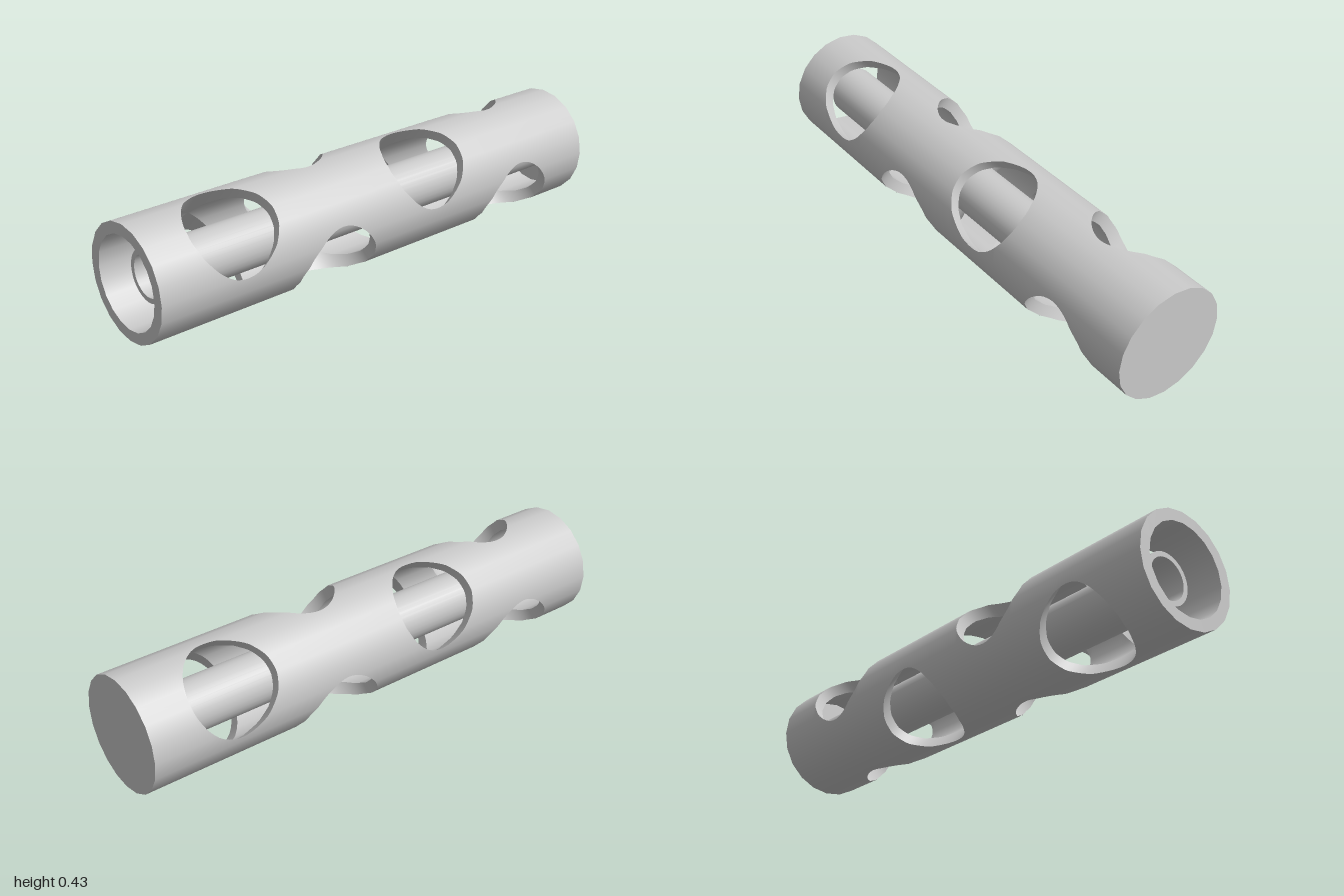
import * as THREE from 'three';
import { mergeGeometries } from 'three/addons/utils/BufferGeometryUtils.js';

const SIDES = 20, OUTER = 0.2145, BORE = 0.1715, CORE_OUT = 0.097, CORE_IN = 0.078;
const HOLE = 0.1715, FLOOR = -0.955, CORE_FRONT = 0.92, AXIS_Y = 0.2155;
// cross holes, drilled right through, alternating by a quarter turn
const HOLES = [
  { z: -0.656, angle: 140 }, { z: -0.205, angle: 50 },
  { z: 0.244, angle: 140 }, { z: 0.663, angle: 50 },
];
const STEP = (2 * Math.PI) / SIDES;

// point on a regular polygon of circumradius r at a given angle
function onPolygon(r, a, z) {
  const local = ((a % STEP) + STEP) % STEP - STEP / 2;
  const rho = (r * Math.cos(STEP / 2)) / Math.cos(local);
  return [rho * Math.cos(a), rho * Math.sin(a), z];
}

// surface through rows of { p, n } points
function grid(rows, flip = false) {
  const pos = [], nor = [], index = [], w = rows[0].length;
  rows.forEach((row, r) => row.forEach((v, c) => {
    pos.push(...v.p);
    nor.push(...v.n);
    if (r === 0 || c === 0) return;
    const d = r * w + c, e = d - 1, b = d - w, a = b - 1;
    if (flip) index.push(a, d, b, a, e, d);
    else index.push(a, b, d, a, d, e);
  }));
  const g = new THREE.BufferGeometry();
  g.setAttribute('position', new THREE.Float32BufferAttribute(pos, 3));
  g.setAttribute('normal', new THREE.Float32BufferAttribute(nor, 3));
  g.setIndex(index);
  return g;
}

// smooth cylinder wall, facing out (+1) or in (-1)
function band(r, z0, z1, sides, facing) {
  const row = (z) => Array.from({ length: sides + 1 }, (_, k) => {
    const a = (k / sides) * 2 * Math.PI, x = Math.cos(a), y = Math.sin(a);
    return { p: [r * x, r * y, z], n: [facing * x, facing * y, 0] };
  });
  return grid([row(z0), row(z1)], facing < 0);
}

// stretch of the shell pierced by one cross hole: two opposite webs
function piercedStretch({ z: zc, angle }) {
  const parts = [], n = 36;
  for (const side of [0, 1]) {
    const lo = THREE.MathUtils.degToRad(angle) + side * Math.PI;
    const mid = lo + Math.PI / 2;
    const outer = [], inner = [], wallA = [], wallB = [];
    for (let j = 0; j <= n; j++) {
      const t = (Math.PI * j) / n;
      const z = zc - HOLE * Math.cos(t), h = HOLE * Math.sin(t);
      const arc = (r, facing) => {
        const cut = Math.asin(Math.min(1, h / r));
        const a0 = lo + cut, a1 = lo + Math.PI - cut, angles = [a0];
        for (let k = Math.floor(lo / STEP) + 1; k * STEP < lo + Math.PI; k++)
          angles.push(THREE.MathUtils.clamp(k * STEP, a0, a1));
        angles.push(a1);
        return angles.map((a) => ({
          p: onPolygon(r, a, z), n: [facing * Math.cos(a), facing * Math.sin(a), 0],
        }));
      };
      const o = arc(OUTER, 1), i = arc(BORE, -1);
      const wallN = [-Math.cos(mid) * Math.sin(t), -Math.sin(mid) * Math.sin(t), Math.cos(t)];
      const edge = (v) => ({ p: v.p, n: wallN });
      outer.push(o);
      inner.push(i);
      wallA.push([edge(i[0]), edge(o[0])]);
      wallB.push([edge(o.at(-1)), edge(i.at(-1))]);
    }
    parts.push(grid(outer), grid(inner, true), grid(wallA), grid(wallB));
  }
  return mergeGeometries(parts);
}

export function createModel() {
  const model = new THREE.Group();
  const material = new THREE.MeshStandardMaterial({ color: 0xcccccc });
  const add = (parent, name, geometry, z = 0) => {
    const mesh = new THREE.Mesh(geometry, material);
    mesh.name = name;
    mesh.position.z = z;
    parent.add(mesh);
    return mesh;
  };

  // outer shell: plain bands alternating with pierced stretches
  const shell = new THREE.Group();
  shell.name = 'outerShell';
  let start = -1;
  for (const hole of [...HOLES, null]) {
    const end = hole ? hole.z - HOLE : 1;
    add(shell, 'plainBand', mergeGeometries([
      band(OUTER, start, end, SIDES, 1),
      band(BORE, Math.max(start, FLOOR), end, SIDES, -1),
    ]));
    if (hole) {
      add(shell, 'piercedStretch', piercedStretch(hole));
      start = hole.z + HOLE;
    }
  }
  add(shell, 'frontRim', new THREE.RingGeometry(BORE, OUTER, SIDES), 1);
  add(shell, 'boreFloor', new THREE.CircleGeometry(BORE, SIDES), FLOOR);
  add(shell, 'backCap', new THREE.CircleGeometry(OUTER, SIDES).rotateY(Math.PI), -1);

  // slim core tube running down the middle
  const core = new THREE.Group();
  core.name = 'coreTube';
  add(core, 'coreWall', mergeGeometries([
    band(CORE_OUT, FLOOR, CORE_FRONT, 32, 1),
    band(CORE_IN, FLOOR, CORE_FRONT, 32, -1),
  ]));
  add(core, 'coreRim', new THREE.RingGeometry(CORE_IN, CORE_OUT, 32), CORE_FRONT);

  model.add(shell, core);
  model.position.y = AXIS_Y;
  const root = new THREE.Group();
  root.name = 'piercedTube';
  root.add(model);
  return root;
}
